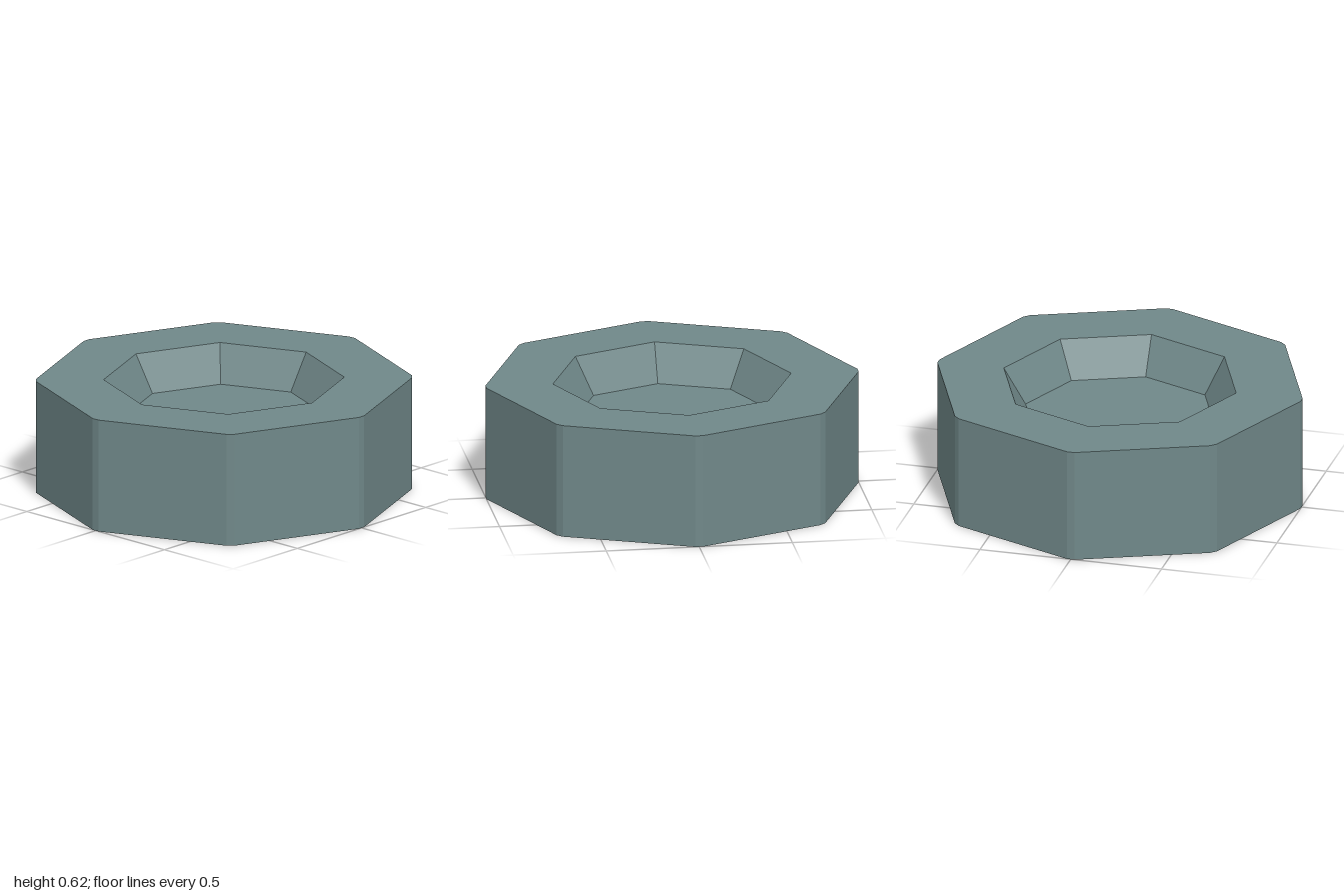
import * as THREE from 'three';

const SIDES = 8;
const HEIGHT = 0.62;
const DEPTH = 0.195; // depth of the dish in the top and in the underside

// Octagon ring of 16 points; each corner is cut flat by +-cut
function ring(radius, y, cut = 0) {
  const points = [];
  for (let i = 0; i < SIDES; i++) {
    const a = (i / SIDES) * Math.PI * 2;
    for (const side of [-cut, cut]) {
      points.push(new THREE.Vector3(
        Math.sin(a) * radius + Math.cos(a) * side,
        y,
        Math.cos(a) * radius - Math.sin(a) * side
      ));
    }
  }
  return points;
}

// Skin neighbouring rings with flat faces, skipping collapsed triangles
function loft(rings) {
  const positions = [];
  const addTriangle = (a, b, c) => {
    if (new THREE.Triangle(a, b, c).getArea() < 1e-7) return;
    for (const p of [a, b, c]) positions.push(p.x, p.y, p.z);
  };
  for (let j = 0; j < rings.length - 1; j++) {
    const low = rings[j], high = rings[j + 1];
    for (let k = 0; k < low.length; k++) {
      const n = (k + 1) % low.length;
      addTriangle(low[k], low[n], high[n]);
      addTriangle(low[k], high[n], high[k]);
    }
  }
  const geometry = new THREE.BufferGeometry();
  geometry.setAttribute('position', new THREE.Float32BufferAttribute(positions, 3));
  geometry.computeVertexNormals();
  return geometry;
}

export function createModel() {
  const group = new THREE.Group();
  group.name = 'octagonalBlock';
  const material = new THREE.MeshStandardMaterial({ color: 0x708889, flatShading: true });

  const addPart = (name, rings) => {
    const mesh = new THREE.Mesh(loft(rings), material);
    mesh.name = name;
    group.add(mesh);
  };

  // Outer body: lower rim, wall with clipped corners, upper rim
  addPart('body', [
    ring(0.64, 0),
    ring(1, 0, 0.021),
    ring(1, HEIGHT, 0.021),
    ring(0.64, HEIGHT),
  ]);

  // Sloped dish sunk into the top
  addPart('topRecess', [
    ring(0.64, HEIGHT),
    ring(0.52, HEIGHT - DEPTH),
    ring(0, HEIGHT - DEPTH),
  ]);

  // Matching dish in the underside
  addPart('bottomRecess', [
    ring(0, DEPTH),
    ring(0.52, DEPTH),
    ring(0.64, 0),
  ]);

  return group;
}
